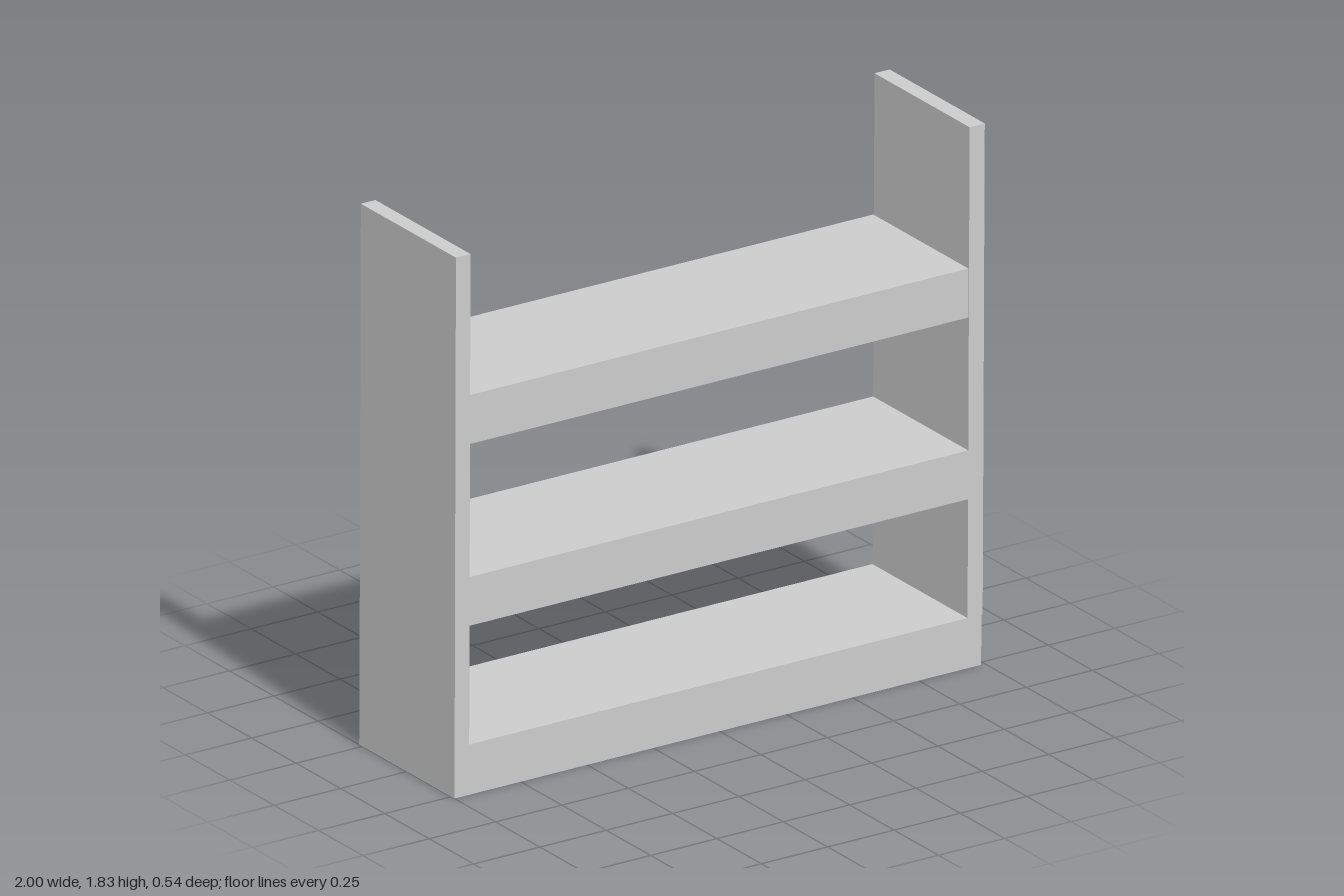
import * as THREE from 'three';

const DEPTH = 0.536;
const BASE_TOP = 0.17;
const TOP = 1.83;

export function createModel() {
  const group = new THREE.Group();
  const material = new THREE.MeshStandardMaterial({ color: 0xcccccc, flatShading: true });

  // A board whose front outline is a quad, carried through the full depth
  function addBoard(name, corners) {
    const shape = new THREE.Shape(corners.map(([x, y]) => new THREE.Vector2(x, y)));
    const geometry = new THREE.ExtrudeGeometry(shape, { depth: DEPTH, bevelEnabled: false });
    geometry.translate(0, 0, -DEPTH / 2);
    const mesh = new THREE.Mesh(geometry, material);
    mesh.name = name;
    group.add(mesh);
  }

  // Base board under both side panels
  addBoard('baseShelf', [[-1, 0], [0.985, 0], [0.987, BASE_TOP], [-0.999, BASE_TOP]]);

  // Side panels, leaning very slightly towards +x
  const sides = [
    { name: 'rightPanel', inner: -0.944, outer: -0.999, lean: 0.005 },
    { name: 'leftPanel', inner: 0.934, outer: 0.991, lean: 0.008 },
  ];
  for (const { name, inner, outer, lean } of sides) {
    const a = Math.min(inner, outer);
    const b = Math.max(inner, outer);
    addBoard(name, [[a, BASE_TOP], [b, BASE_TOP], [b + lean, TOP], [a + lean, TOP]]);
  }

  // Thick shelves held between the panels
  const shelves = [['middleShelf', 0.572, 0.737], ['topShelf', 1.187, 1.353]];
  for (const [name, y0, y1] of shelves) {
    addBoard(name, [[-0.942, y0], [0.937, y0], [0.937, y1], [-0.942, y1]]);
  }

  return group;
}
